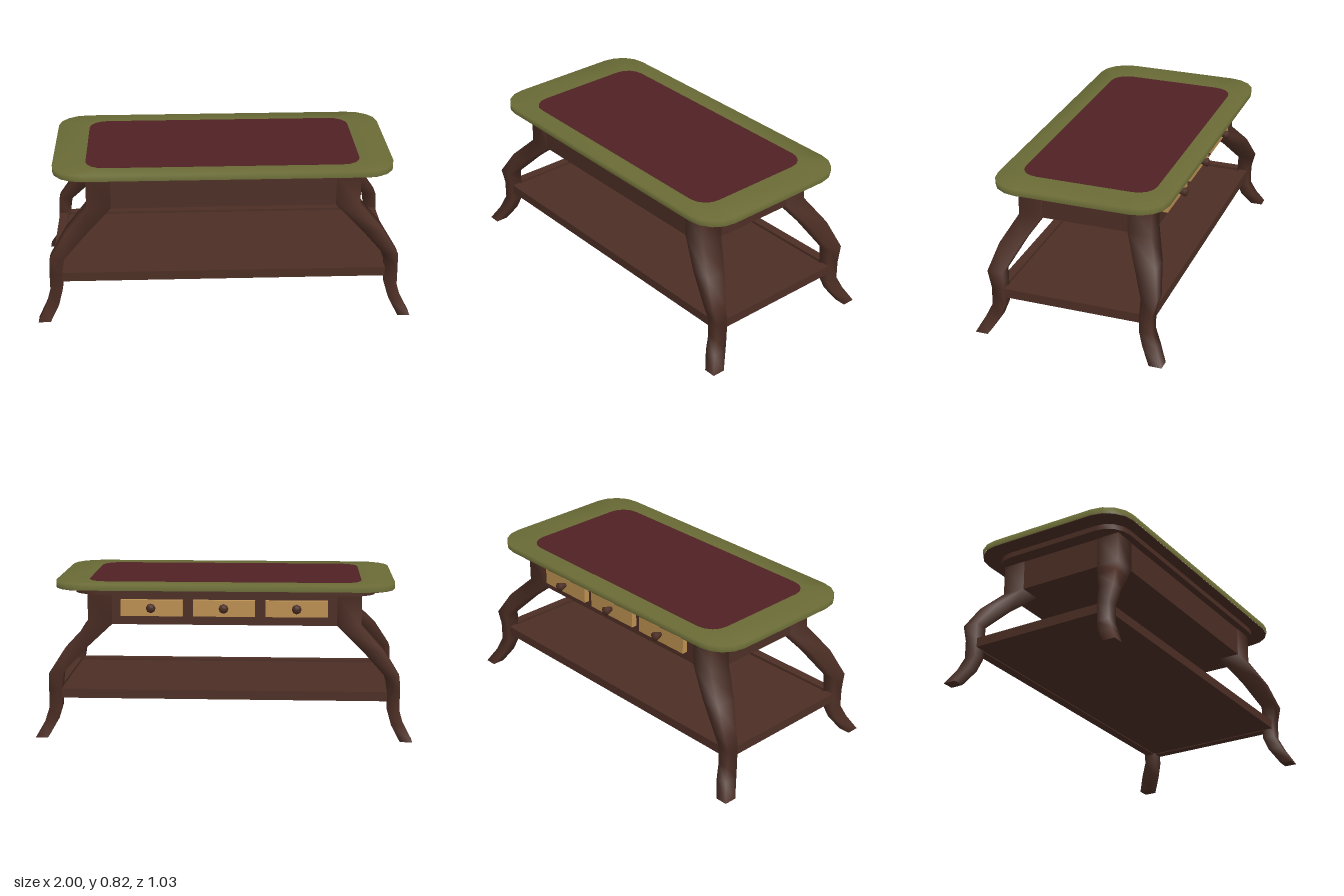
import * as THREE from 'three';

const material = (name, color) => {
  const m = new THREE.MeshStandardMaterial({ color });
  m.name = name;
  return m;
};

// Rounded rectangle ring at height y: half sizes hx, hz, corner radii rx, rz
function roundedRing(hx, hz, rx, rz, y, steps = 4) {
  const ring = [];
  for (let q = 0; q < 4; q++) {
    const sx = q === 0 || q === 3 ? 1 : -1;
    const sz = q < 2 ? 1 : -1;
    for (let i = 0; i <= steps; i++) {
      const a = (q + i / steps) * Math.PI / 2;
      ring.push([sx * (hx - rx) + Math.cos(a) * rx, y, sz * (hz - rz) + Math.sin(a) * rz]);
    }
  }
  return ring;
}

// Four-cornered ring in the same turning direction
const rectRing = (x0, x1, z0, z1, y) => [[x1, y, z0], [x1, y, z1], [x0, y, z1], [x0, y, z0]];

// Smooth skin through rings listed bottom to top, with hard-edged end caps
function loft(rings, capBottom = true, capTop = true) {
  const n = rings[0].length;
  const points = rings.flat();
  const index = [];
  for (let r = 0; r < rings.length - 1; r++) {
    for (let i = 0; i < n; i++) {
      const a = r * n + i, b = r * n + (i + 1) % n;
      index.push(a, a + n, b + n, a, b + n, b);
    }
  }
  const cap = (ring, up) => {
    const s = points.length;
    points.push(...ring);
    for (let i = 1; i < n - 1; i++) {
      if (up) index.push(s, s + i + 1, s + i);
      else index.push(s, s + i, s + i + 1);
    }
  };
  if (capBottom) cap(rings[0], false);
  if (capTop) cap(rings[rings.length - 1], true);
  const g = new THREE.BufferGeometry();
  g.setAttribute('position', new THREE.Float32BufferAttribute(points.flat(), 3));
  g.setIndex(index);
  g.computeVertexNormals();
  return g;
}

export function createModel() {
  const wood = material('dark wood', 0x4d2f25);
  const olive = material('olive rim', 0x6a6b36);
  const red = material('dark red inlay', 0x512225);
  const tan = material('light wood', 0xbd9152);

  const table = new THREE.Group();
  table.name = 'table';
  const add = (name, geometry, mat, x = 0, y = 0, z = 0, parent = table) => {
    const mesh = new THREE.Mesh(geometry, mat);
    mesh.name = name;
    mesh.position.set(x, y, z);
    parent.add(mesh);
    return mesh;
  };
  const box = (name, w, h, d, mat, x, y, z, parent) =>
    add(name, new THREE.BoxGeometry(w, h, d), mat, x, y, z, parent);

  // Table top: softly shaded rim around a flat inlay
  add('topRim', loft([
    roundedRing(0.905, 0.465, 0.16, 0.16, 0.788),
    roundedRing(0.905, 0.465, 0.16, 0.16, 0.822),
    roundedRing(0.72, 0.35, 0.1, 0.1, 0.822),
  ], false, false), olive);
  add('topInlay', loft([
    roundedRing(0.73, 0.36, 0.1, 0.1, 0.818),
    roundedRing(0.73, 0.36, 0.1, 0.1, 0.823),
  ]), red);
  add('topUnderside', loft([
    roundedRing(0.903, 0.463, 0.16, 0.16, 0.786),
    roundedRing(0.903, 0.463, 0.16, 0.16, 0.79),
  ]), wood);
  add('topSupport', loft([
    roundedRing(0.805, 0.4, 0.13, 0.13, 0.757),
    roundedRing(0.805, 0.4, 0.13, 0.13, 0.787),
  ]), wood);

  // Apron box
  box('apron', 1.454, 0.168, 0.72, wood, 0, 0.675, 0);

  // Curved legs: height, inner x, outer x, inner z, outer z
  const legSections = [
    [0, 0.935, 1.0, 0.446, 0.515],
    [0.08, 0.89, 0.955, 0.395, 0.472],
    [0.15, 0.87, 0.935, 0.371, 0.44],
    [0.25, 0.868, 0.935, 0.371, 0.44],
    [0.34, 0.855, 0.93, 0.377, 0.463],
    [0.47, 0.735, 0.847, 0.313, 0.427],
    [0.592, 0.6, 0.73, 0.235, 0.363],
    [0.757, 0.6, 0.73, 0.235, 0.363],
  ];
  for (const sx of [-1, 1]) {
    for (const sz of [-1, 1]) {
      const rings = legSections.map(([y, xi, xo, zi, zo]) => {
        const [x0, x1] = sx > 0 ? [xi, xo] : [-xo, -xi];
        const [z0, z1] = sz > 0 ? [zi, zo] : [-zo, -zi];
        return rectRing(x0, x1, z0, z1, y);
      });
      add(`${sz > 0 ? 'front' : 'back'}${sx > 0 ? 'Left' : 'Right'}Leg`, loft(rings), wood);
    }
  }

  // Lower shelf with rails between the legs
  box('shelf', 1.8, 0.03, 0.8, wood, 0, 0.22, 0);
  for (const s of [-1, 1]) {
    box(s > 0 ? 'frontRail' : 'backRail', 1.76, 0.05, 0.05, wood, 0, 0.225, s * 0.405);
    box(s > 0 ? 'leftRail' : 'rightRail', 0.05, 0.05, 0.76, wood, s * 0.905, 0.225, 0);
  }

  // Three drawers with flared knobs on the back
  const knobProfile = [[0, 0], [0.011, 0], [0.026, 0.045], [0.012, 0.055], [0, 0.055]]
    .map(([r, h]) => new THREE.Vector2(r, h));
  const knobGeometry = new THREE.LatheGeometry(knobProfile, 8);
  for (const x of [-0.385, 0, 0.385]) {
    const drawer = new THREE.Group();
    drawer.name = 'drawer';
    drawer.position.set(x, 0.684, -0.36);
    table.add(drawer);
    box('drawerFront', 0.33, 0.086, 0.034, tan, 0, 0, -0.013, drawer);
    const knob = add('drawerKnob', knobGeometry, wood, 0, 0.007, -0.029, drawer);
    knob.rotation.x = -Math.PI / 2;
  }

  return table;
}
